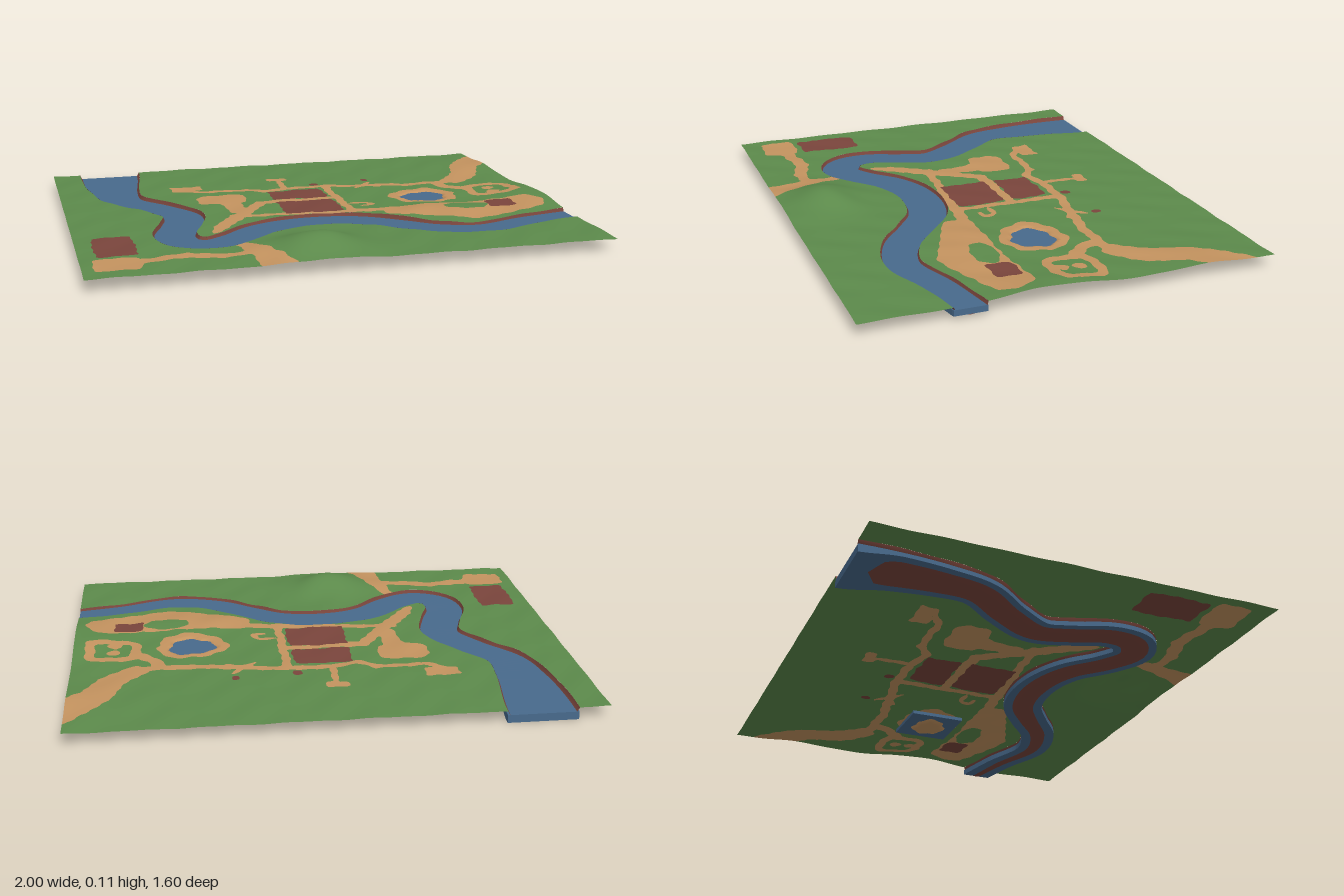
import * as THREE from 'three';

const GREEN = 0x5c8a4b, TAN = 0xc4935f, BROWN = 0x7a453c, BLUE = 0x486a8c;
const material = color => new THREE.MeshStandardMaterial({ color, side: THREE.DoubleSide });
const { smoothstep, lerp } = THREE.MathUtils;

// ---- signed distance helpers on the ground plane (negative inside) ----
const union = list => (x, z) => Math.min(...list.map(f => f(x, z)));
const rect = (cx, cz, w, d, r = 0.01) => (x, z) => {
  const qx = Math.abs(x - cx) - w / 2 + r, qz = Math.abs(z - cz) - d / 2 + r;
  return Math.hypot(Math.max(qx, 0), Math.max(qz, 0)) + Math.min(Math.max(qx, qz), 0) - r;
};
const ellipse = (cx, cz, rx, rz) => (x, z) => (Math.hypot((x - cx) / rx, (z - cz) / rz) - 1) * Math.min(rx, rz);
// Band around a polyline; widthAt(t) is its half width at t = 0..1
const band = (pts, widthAt) => {
  const n = pts.length - 1, widths = pts.map((p, i) => widthAt(i / n));
  return (x, z) => {
    let d = Infinity;
    for (let i = 0; i < n; i++) {
      const [ax, az] = pts[i], dx = pts[i + 1][0] - ax, dz = pts[i + 1][1] - az;
      const t = THREE.MathUtils.clamp(((x - ax) * dx + (z - az) * dz) / (dx * dx + dz * dz), 0, 1);
      d = Math.min(d, Math.hypot(x - ax - dx * t, z - az - dz * t) - lerp(widths[i], widths[i + 1], t));
    }
    return d;
  };
};
const path = (w0, w1, ...pts) => band(pts, t => lerp(w0, w1, t));
const wobble = (x, z) => 0.003 * (Math.sin(x * 83 + z * 31) + Math.sin(z * 97 - x * 43));

// ---- river: a centre line that narrows from the back edge to the left edge ----
const STEPS = 140;
const course = new THREE.CatmullRomCurve3([[-.745, -.8], [-.757, -.47], [-.735, -.3], [-.62, -.14], [-.535, .02], [-.565, .16],
  [-.612, .3], [-.59, .405], [-.5, .452], [-.385, .395], [-.27, .295], [-.15, .245], [0, .233], [.14, .265], [.27, .355],
  [.4, .455], [.58, .505], [.8, .44], [1, .398]].map(([x, z]) => new THREE.Vector3(x, 0, z)));
const riverWidth = t => 0.085 + 0.05 * (1 - smoothstep(t, 0, 0.2)) - 0.022 * smoothstep(t, 0.6, 1);
const river = band(course.getSpacedPoints(STEPS).map(p => [p.x, p.z]), riverWidth);

// ---- regions ----
const pond = (x, z) => {
  const a = Math.atan2(z + .03, x - .52);
  return ellipse(.52, -.03, .105, .095)(x, z) + 0.006 * Math.sin(3 * a + 1) + 0.005 * Math.sin(7 * a);
};
const fields = union([rect(0, -.195, .235, .15), rect(0, .02, .245, .2), rect(-.858, .422, .155, .255),
  rect(.78, .19, .12, .1), rect(.117, -.355, .035, .04), rect(.362, -.38, .025, .04)]);
const northPaths = union([
  path(.075, .05, [1.02, -.65], [.89, -.5], [.84, -.37], [.75, -.27]),
  path(.022, .014, [.75, -.25], [.5, -.25], [.15, -.31], [-.02, -.31], [-.13, -.28], [-.2, -.33], [-.4, -.33], [-.46, -.37]),
  path(.012, .014, [-.025, -.47], [-.025, -.31]),
  path(.009, .011, [.27, -.24], [.33, -.28], [.37, -.34]),
  path(.01, .01, [.31, -.29], [.39, -.25]),
  path(.028, .025, [.65, -.23], [.68, -.16], [.75, -.1]),
]);
const southPaths = union([
  path(.045, .035, [-.31, -.12], [-.3, .04]),
  path(.02, .032, [.15, -.1], [-.18, -.09], [-.42, .25]),
  path(.032, .012, [-.42, .25], [-.46, .32]),
  path(.017, .017, [.15, -.31], [.15, .13]),
  path(.016, .03, [-.34, .1], [.15, .145], [.35, .17]),
  path(.009, .013, [.16, .02], [.24, .01], [.26, .06], [.22, .065]),
  path(.03, .022, [-.78, .63], [-.61, .6], [-.48, .64], [-.36, .63]),
  path(.018, .065, [-.41, .45], [-.35, .63], [-.31, .82]),
]);
const yards = union([rect(-.452, -.407, .135, .075), rect(-.025, -.485, .09, .05, .02), rect(-.335, -.185, .21, .15, .05),
  rect(-.87, .647, .17, .145, .02), ellipse(.835, -.08, .03, .024), ellipse(.835, -.01, .032, .024),
  (x, z) => pond(x, z) - 0.035]);
const gardenBlock = rect(.84, -.06, .19, .17, .04);
const garden = (x, z) => Math.abs(gardenBlock(x, z)) - 0.02;
const southYard = union([path(.065, .12, [.33, .2], [.62, .26]), path(.12, .09, [.62, .26], [.87, .21])]);
const lawn = ellipse(.62, .205, .095, .052);
const bare = union([northPaths, southPaths, yards, garden, (x, z) => Math.max(southYard(x, z), -lawn(x, z))]);

// ---- land height: gentle hills, fine ripples and a sunken pond ----
const hill = (x, z, cx, cz, h, rx, rz) => h * Math.exp(-(((x - cx) / rx) ** 2) - ((z - cz) / rz) ** 2);
const land = (x, z) => 0.048 + hill(x, z, -.13, .62, .062, .16, .13) + hill(x, z, 1, .1, .025, .16, .2)
  + hill(x, z, .5, .22, .014, .25, .12) + hill(x, z, 1, -.52, .012, .25, .18)
  + 0.0012 * Math.sin(22 * x + 26 * z) + 0.0008 * Math.sin(41 * x + 17 * z);
const height = (x, z) => land(x, z) - 0.03 * smoothstep(-pond(x, z), 0, 0.04);

// Cuts flat triangles along the zero line of a field
function split(tris, field) {
  const inside = [], outside = [];
  for (const tri of tris) {
    const v = tri.map(p => field(p[0], p[1]));
    for (const [side, list] of [[1, outside], [-1, inside]]) {
      const poly = [];
      tri.forEach((a, i) => {
        const j = (i + 1) % 3, b = tri[j], va = v[i] * side, vb = v[j] * side;
        if (va >= 0) poly.push(a);
        if (va * vb < 0) poly.push([0, 1].map(k => lerp(a[k], b[k], va / (va - vb))));
      });
      for (let k = 1; k + 1 < poly.length; k++) list.push([poly[0], poly[k], poly[k + 1]]);
    }
  }
  return { inside, outside };
}

// Drapes flat triangles over the land
function drape(name, tris, color) {
  const pos = [], nor = [], e = 0.006, n = new THREE.Vector3();
  for (const [x, z] of tris.flat()) {
    pos.push(x, height(x, z), z);
    n.set(height(x - e, z) - height(x + e, z), 2 * e, height(x, z - e) - height(x, z + e)).normalize();
    nor.push(n.x, n.y, n.z);
  }
  const g = new THREE.BufferGeometry();
  g.setAttribute('position', new THREE.Float32BufferAttribute(pos, 3));
  g.setAttribute('normal', new THREE.Float32BufferAttribute(nor, 3));
  const mesh = new THREE.Mesh(g, material(color));
  mesh.name = name;
  return mesh;
}

// Sweeps a cross-section down the river; section(t) gives [across -1..1, y] points
function sweep(name, section, color, capped) {
  const pos = [], index = [], n = section(0).length;
  for (let i = 0; i <= STEPS; i++) {
    const t = i / STEPS, p = course.getPointAt(t), d = course.getTangentAt(t);
    if (i === 0) d.set(0, 0, 1);
    if (i === STEPS) d.set(1, 0, 0);
    for (const [s, y] of section(t)) {
      const x = p.x - d.z * s * riverWidth(t), z = p.z + d.x * s * riverWidth(t);
      pos.push(x, y ?? height(x, z), z);
    }
  }
  for (let i = 0; i < STEPS; i++) for (let j = 0; j + 1 < n; j++) {
    const a = i * n + j, b = a + n;
    index.push(a, b, a + 1, a + 1, b, b + 1);
  }
  if (capped) for (const a of [0, STEPS * n]) index.push(a, a + 1, a + 2, a, a + 2, a + 3);
  let g = new THREE.BufferGeometry();
  g.setAttribute('position', new THREE.Float32BufferAttribute(pos, 3));
  g.setIndex(index);
  if (capped) g = g.toNonIndexed();
  g.computeVertexNormals();
  const mesh = new THREE.Mesh(g, material(color));
  mesh.name = name;
  return mesh;
}

export function createModel() {
  const model = new THREE.Group();
  model.name = 'riverLandscape';

  // Land sheet, cut into grass, bare earth and fields
  const NX = 160, NZ = 128, sheet = [];
  const at = (i, j) => [-1 + 2 * i / NX, -.8 + 1.6 * j / NZ];
  for (let i = 0; i < NX; i++) for (let j = 0; j < NZ; j++)
    sheet.push([at(i, j), at(i, j + 1), at(i + 1, j)], [at(i + 1, j), at(i, j + 1), at(i + 1, j + 1)]);
  const dry = split(sheet, river).outside;
  const field = split(dry, (x, z) => fields(x, z) + wobble(x, z));
  const earth = split(field.outside, (x, z) => bare(x, z) + wobble(x, z));
  model.add(drape('grass', earth.outside, GREEN), drape('pathsAndYards', earth.inside, TAN), drape('fields', field.inside, BROWN));

  // River bed with steep banks and a rounded floor
  model.add(sweep('riverBed', t => {
    const y = 0.006 + 0.008 * t;
    return [[-1], [-.95, y + .028], [-.86, y + .016], [-.6, y + .005], [0, y],
      [.6, y + .005], [.86, y + .016], [.95, y + .028], [1]];
  }, BROWN));

  // River water, a slab that reaches lower at the back end
  model.add(sweep('riverWater', t => {
    const top = 0.031 + 0.008 * t, low = 0.016 * smoothstep(t, 0, 0.06);
    return [[1, top], [1, low], [-1, low], [-1, top], [1, top]];
  }, BLUE, true));

  // Pond water, a block sunk below the shore
  const w = .24, d = .23, cx = .52, cz = -.03;
  const shore = Math.min(...[-1, 1].flatMap(a => [-1, 1].map(b => land(cx + a * w / 2, cz + b * d / 2))));
  const water = new THREE.Mesh(new THREE.BoxGeometry(w, 0.014, d), material(BLUE));
  water.position.set(cx, shore - 0.011, cz);
  water.name = 'pondWater';
  model.add(water);
  return model;
}
